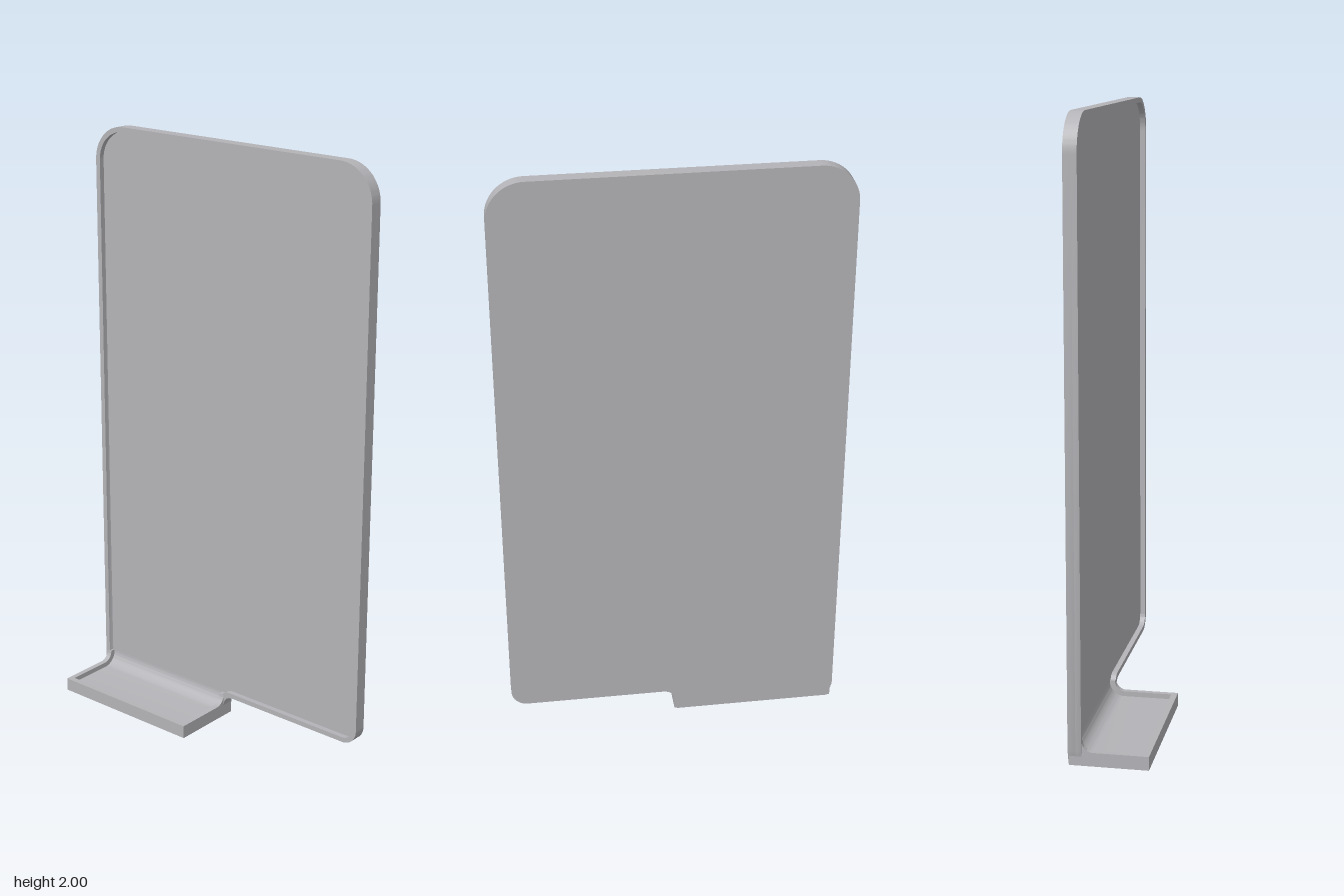
import * as THREE from 'three';
import { toCreasedNormals } from 'three/addons/utils/BufferGeometryUtils.js';

const BACK = -0.128, PANEL = -0.103, RIM = -0.085, FRONT = 0.127;
const RIM_WIDTH = 0.017;

// Panel outline, moved inwards by d, with its lowest edge at y = bottom.
function outline(d, bottom, Type) {
  const L = -0.56 + d, R = 0.56 - d, T = 2 - d, B = 0.078 + d;
  const rt = 0.12 - d, rb = 0.055 - d;
  const s = new Type();
  s.moveTo(-0.545 + d, bottom);
  s.lineTo(-0.012 - d, bottom);
  s.lineTo(-0.003 - d, 0.04);
  s.quadraticCurveTo(-d, B, 0.04 - d, B);
  s.lineTo(R - rb, B);
  s.absarc(R - rb, B + rb, rb, -Math.PI / 2, 0, false);
  s.absarc(R - rt, T - rt, rt, 0, Math.PI / 2, false);
  s.absarc(L + rt, T - rt, rt, Math.PI / 2, Math.PI, false);
  s.lineTo(L, 0.05);
  s.closePath();
  return s;
}

// L-shaped section in the depth-height plane, with a concave fillet of radius r.
function ledgeSection(wallZ, top, r) {
  const s = new THREE.Shape();
  s.moveTo(-FRONT, 0);
  s.lineTo(0.125, 0);
  s.lineTo(0.125, top + r);
  s.lineTo(-wallZ, top + r);
  s.absarc(-wallZ - r, top + r, r, 0, -Math.PI / 2, true);
  s.lineTo(-FRONT, top);
  s.closePath();
  return s;
}

const extrude = (shape, depth) => toCreasedNormals(
  new THREE.ExtrudeGeometry(shape, { depth, bevelEnabled: false, curveSegments: 12 }), 0.5);

export function createModel() {
  const model = new THREE.Group();
  const grey = new THREE.MeshStandardMaterial({ color: 0xb4b3b7 });
  grey.name = 'light grey';

  const add = (name, geometry, x = 0, y = 0, z = 0) => {
    const mesh = new THREE.Mesh(geometry, grey);
    mesh.name = name;
    mesh.position.set(x, y, z);
    model.add(mesh);
  };
  const addAcross = (name, shape, x0, x1) =>
    add(name, extrude(shape, x1 - x0).rotateY(Math.PI / 2), x0);

  // Upright panel and its raised border
  add('backPanel', extrude(outline(0, 0, THREE.Shape), PANEL - BACK), 0, 0, BACK);
  const border = outline(0, 0, THREE.Shape);
  border.holes.push(outline(RIM_WIDTH, 0.02, THREE.Path));
  add('panelRim', extrude(border, RIM - PANEL), 0, 0, PANEL);

  // Ledge floor blending up into the panel
  addAcross('ledgeFloor', ledgeSection(PANEL, 0.028, 0.05), -0.548, -0.01);

  // Raised ledge border: two curved sides and a front lip
  const side = ledgeSection(RIM, 0.045, 0.035);
  addAcross('ledgeRightRim', side, -0.554, -0.536);
  addAcross('ledgeLeftRim', side, -0.021, -0.003);
  add('ledgeFrontLip', new THREE.BoxGeometry(0.551, 0.045, 0.02), -0.2785, 0.0225, FRONT - 0.01);

  return model;
}
